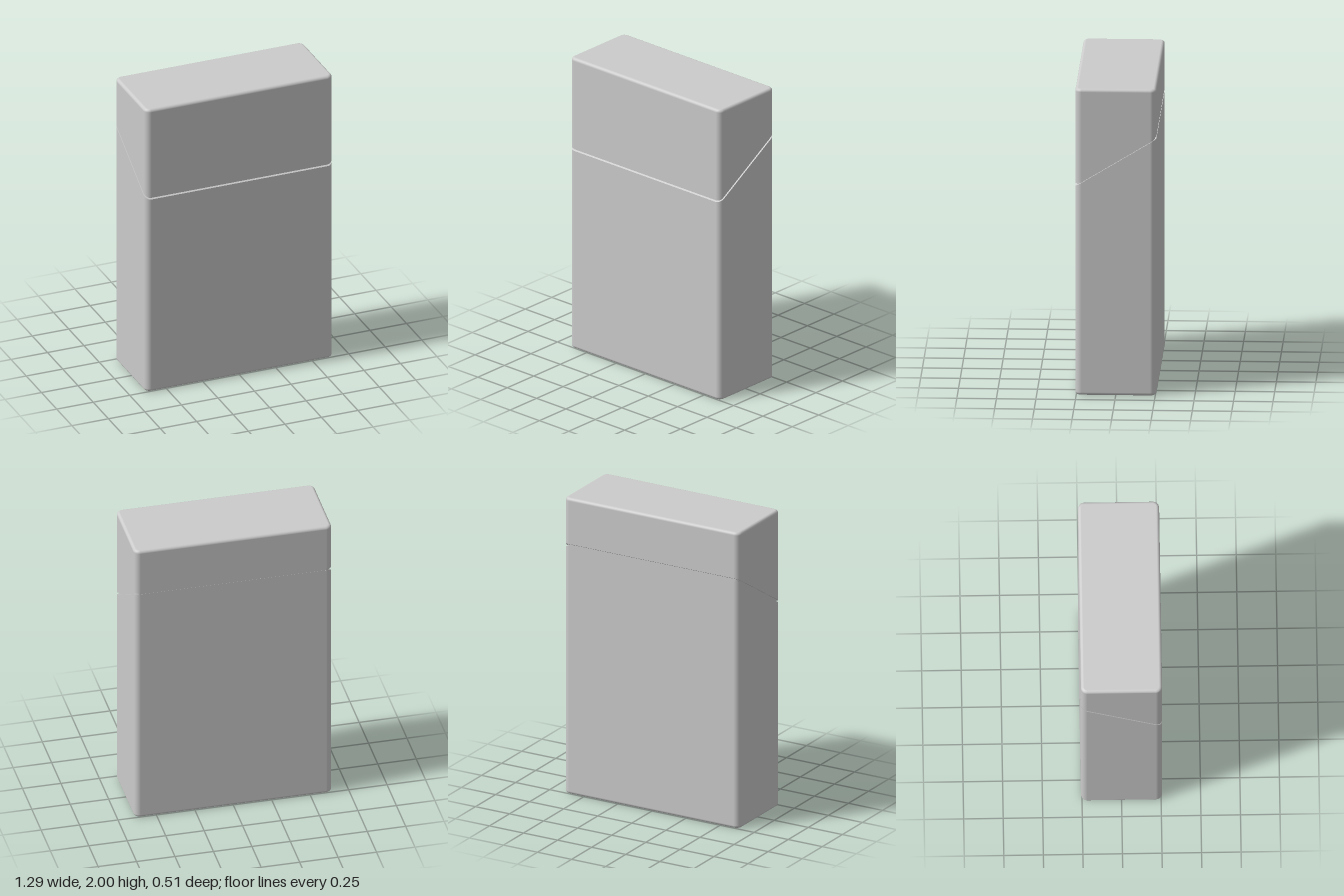
import * as THREE from 'three';

const W = 0.643, D = 0.257, H = 2;      // half width, half depth, height
const CORNER = 0.04, EDGE = 0.02;       // upright corner and rim rounding
const GAP = 0.007, CORE = 0.01;         // half seam height, seam depth
const STEPS = 8;

// Slanted seam: low at the front, high at the back
const SLOPE = 0.61;
const seam = (offset) => (z) => 1.527 - SLOPE * z + offset;
const seamNormal = new THREE.Vector3(0, 1, SLOPE).normalize();

// Unit directions and corner centres round the outline
const outline = [];
[[1, 1], [-1, 1], [-1, -1], [1, -1]].forEach(([sx, sz], q) => {
  for (let i = 0; i <= STEPS; i++) {
    const a = (q + i / STEPS) * Math.PI / 2;
    outline.push({ cx: sx * (W - CORNER), cz: sz * (D - CORNER), dx: Math.cos(a), dz: Math.sin(a) });
  }
});

// One rounded-rectangle section; tilt turns its normals up or down, normal overrides them
const ring = (y, { inset = 0, tilt = 0, normal = null, scale = 1 } = {}) =>
  outline.map(({ cx, cz, dx, dz }) => {
    const x = (cx + dx * (CORNER - inset)) * scale;
    const z = (cz + dz * (CORNER - inset)) * scale;
    const c = Math.cos(tilt);
    return {
      p: [x, typeof y === 'function' ? y(z) : y, z],
      n: normal ? normal.toArray() : [dx * c, Math.sin(tilt), dz * c],
    };
  });

// Skins a stack of sections, listed from bottom to top
function loft(name, rings, material) {
  const n = outline.length, index = [];
  for (let r = 0; r < rings.length - 1; r++) {
    for (let j = 0; j < n; j++) {
      const k = (j + 1) % n, a = r * n + j, b = r * n + k;
      index.push(a, a + n, b, b, a + n, b + n);
    }
  }
  const points = rings.flat();
  const geometry = new THREE.BufferGeometry();
  geometry.setAttribute('position', new THREE.Float32BufferAttribute(points.flatMap((v) => v.p), 3));
  geometry.setAttribute('normal', new THREE.Float32BufferAttribute(points.flatMap((v) => v.n), 3));
  geometry.setIndex(index);
  const mesh = new THREE.Mesh(geometry, material);
  mesh.name = name;
  return mesh;
}

// Rounded rim with its flat end; side is 1 for the top, -1 for the bottom
function roundedEnd(side) {
  const end = side > 0 ? H : 0, rings = [];
  for (let i = 0; i <= 6; i++) {
    const t = i / 6 * Math.PI / 2;
    rings.push(ring(end - side * EDGE * (1 - Math.sin(t)), { inset: EDGE * (1 - Math.cos(t)), tilt: side * t }));
  }
  rings.push(ring(end, { scale: 0, tilt: side * Math.PI / 2 }));
  return side > 0 ? rings : rings.reverse();
}

export function createModel() {
  const group = new THREE.Group();
  group.name = 'flipTopBox';
  const material = new THREE.MeshStandardMaterial({ color: 0xcccccc });
  const down = seamNormal.clone().negate();
  const low = seam(-GAP), high = seam(GAP);

  // Lower box, closed by the slanted cut
  group.add(loft('body', [
    ...roundedEnd(-1), ring(low),
    ring(low, { normal: seamNormal }), ring(low, { normal: seamNormal, scale: 0 }),
  ], material));

  // Recessed band that shows in the seam
  group.add(loft('seamCore', [ring(low, { inset: CORE }), ring(high, { inset: CORE })], material));

  // Lid above the cut
  group.add(loft('lid', [
    ring(high, { normal: down, scale: 0 }), ring(high, { normal: down }),
    ring(high), ...roundedEnd(1),
  ], material));

  return group;
}
